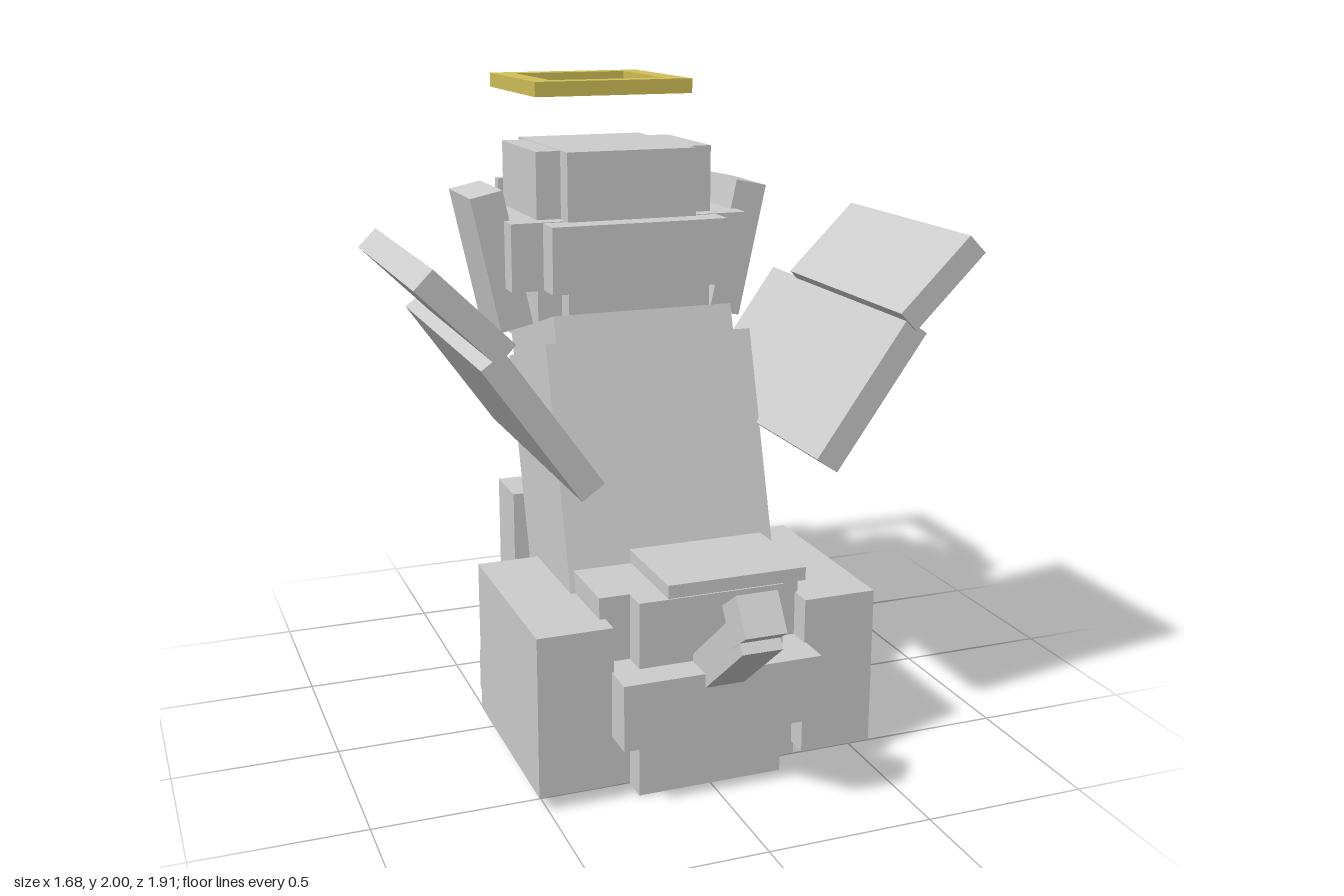
import * as THREE from 'three';

export function createModel() {
  const root = new THREE.Group();
  const stone = new THREE.MeshStandardMaterial({ color: 0xcccccc });
  stone.name = 'pale stone';
  const gold = new THREE.MeshStandardMaterial({ color: 0xd0bf58 });
  gold.name = 'gold';

  // Box given by its limits on each axis
  function box(name, [x0, x1], [y0, y1], [z0, z1], parent = root, mat = stone) {
    const m = new THREE.Mesh(new THREE.BoxGeometry(x1 - x0, y1 - y0, z1 - z0), mat);
    m.position.set((x0 + x1) / 2, (y0 + y1) / 2, (z0 + z1) / 2);
    m.name = name;
    parent.add(m);
    return m;
  }
  // Box given by size, centre and tilt
  function tilted(name, size, pos, rx, rz) {
    const m = new THREE.Mesh(new THREE.BoxGeometry(...size), stone);
    m.position.set(...pos);
    m.rotation.set(rx, 0, rz);
    m.name = name;
    root.add(m);
  }
  const sym = (w) => [-w, w];

  // Torso leaning forward; origin at its upper back edge
  const torso = new THREE.Group();
  torso.name = 'torso';
  torso.position.set(0, 1.25, 0.07);
  torso.rotation.x = -0.296;
  root.add(torso);
  box('back', sym(0.333), [-0.9, 0], [-0.42, 0], torso);
  box('chest', sym(0.295), [-0.9, 0], [-0.51, -0.42], torso);
  box('bib', sym(0.2), [-0.72, -0.1], [-0.54, -0.51], torso);
  box('neck', sym(0.29), [0, 0.085], [-0.52, -0.03], torso);

  // Rump and hips
  box('rump', sym(0.225), [0, 0.6], [0, 0.583]);
  box('hips', [-0.318, 0.308], [0.005, 0.6], [-0.01, 0.505]);
  box('belly', sym(0.3), [0.2, 0.4], [-0.085, 0.2]);
  box('rumpTop', [-0.135, 0.298], [0.6, 0.64], [0.22, 0.578]);
  box('tailBase', sym(0.306), [0.2, 0.4], [0.5, 0.68]);

  // Tail
  tilted('tail', [0.12, 0.11, 0.38], [0, 0.485, 0.75], -0.68, 0);
  tilted('tailTip', [0.122, 0.12, 0.113], [0, 0.634, 0.873], -0.6, 0);

  // Head: crown, cheeks and muzzle
  box('crown', sym(0.21), [1.17, 1.8], [-0.6, -0.08]);
  box('crownSides', sym(0.288), [1.17, 1.798], [-0.525, -0.15]);
  box('faceBand', sym(0.285), [1.382, 1.588], [-0.69, 0]);
  box('cheeks', sym(0.386), [1.38, 1.59], [-0.593, -0.095]);
  box('muzzle', sym(0.2), [1.235, 1.515], [-0.9, -0.5]);
  box('nose', sym(0.09), [1.41, 1.52], [-0.955, -0.89]);
  box('tongue', sym(0.055), [1.2, 1.295], [-0.925, -0.89]);

  // Eyes with one raised brow
  box('raisedBrow', [0.06, 0.275], [1.66, 1.71], [-0.668, -0.642]);
  box('browSide', [0.225, 0.275], [1.59, 1.66], [-0.668, -0.642]);
  box('browInner', [0.06, 0.1], [1.59, 1.66], [-0.668, -0.642]);
  for (const s of [-1, 1]) {
    const c = s * 0.205;
    box('eye', [c - 0.065, c + 0.065], [1.588, 1.66], [-0.688, -0.65]);
    box('pupil', [c - 0.025, c + 0.025], [1.62, 1.655], [-0.7, -0.68]);
  }

  // Paired parts
  for (const s of [-1, 1]) {
    const span = (a, b) => (s > 0 ? [a, b] : [-b, -a]);
    const side = s > 0 ? 'left' : 'right';
    tilted(side + 'Ear', [0.105, 0.43, 0.265], [s * 0.395, 1.462, -0.303], 0, -s * 0.21);
    tilted(side + 'WingInner', [0.08, 0.48, 0.915], [s * 0.495, 1.14, 0.122], 0, -s * 0.614);
    tilted(side + 'WingOuter', [0.075, 0.304, 0.735], [s * 0.706, 1.46, 0.225], 0, -s * 0.79);
    box(side + 'Haunch', span(0.3, 0.527), [0.045, 0.535], [-0.053, 0.577]);
    box(side + 'HindPaw', span(0.265, 0.48), [0.02, 0.158], [-0.25, 0.1]);
    box(side + 'FrontLeg', span(0.145, 0.36), [0.1, 0.693], [-0.4, -0.222]);
    box(side + 'FrontPaw', span(0.125, 0.37), [0.02, 0.148], [-0.48, -0.225]);
  }

  // Collar tag
  box('collarTag', sym(0.05), [1.033, 1.152], [-0.53, -0.49], root, gold);

  // Square halo
  const ring = new THREE.Shape();
  const square = (p, h) => p.moveTo(-h, -h).lineTo(h, -h).lineTo(h, h).lineTo(-h, h).closePath();
  square(ring, 0.26);
  const hole = new THREE.Path();
  square(hole, 0.19);
  ring.holes.push(hole);
  const halo = new THREE.Mesh(
    new THREE.ExtrudeGeometry(ring, { depth: 0.046, bevelEnabled: false }), gold);
  halo.rotation.x = -Math.PI / 2;
  halo.position.set(0, 1.954, -0.5);
  halo.name = 'halo';
  root.add(halo);

  return root;
}
